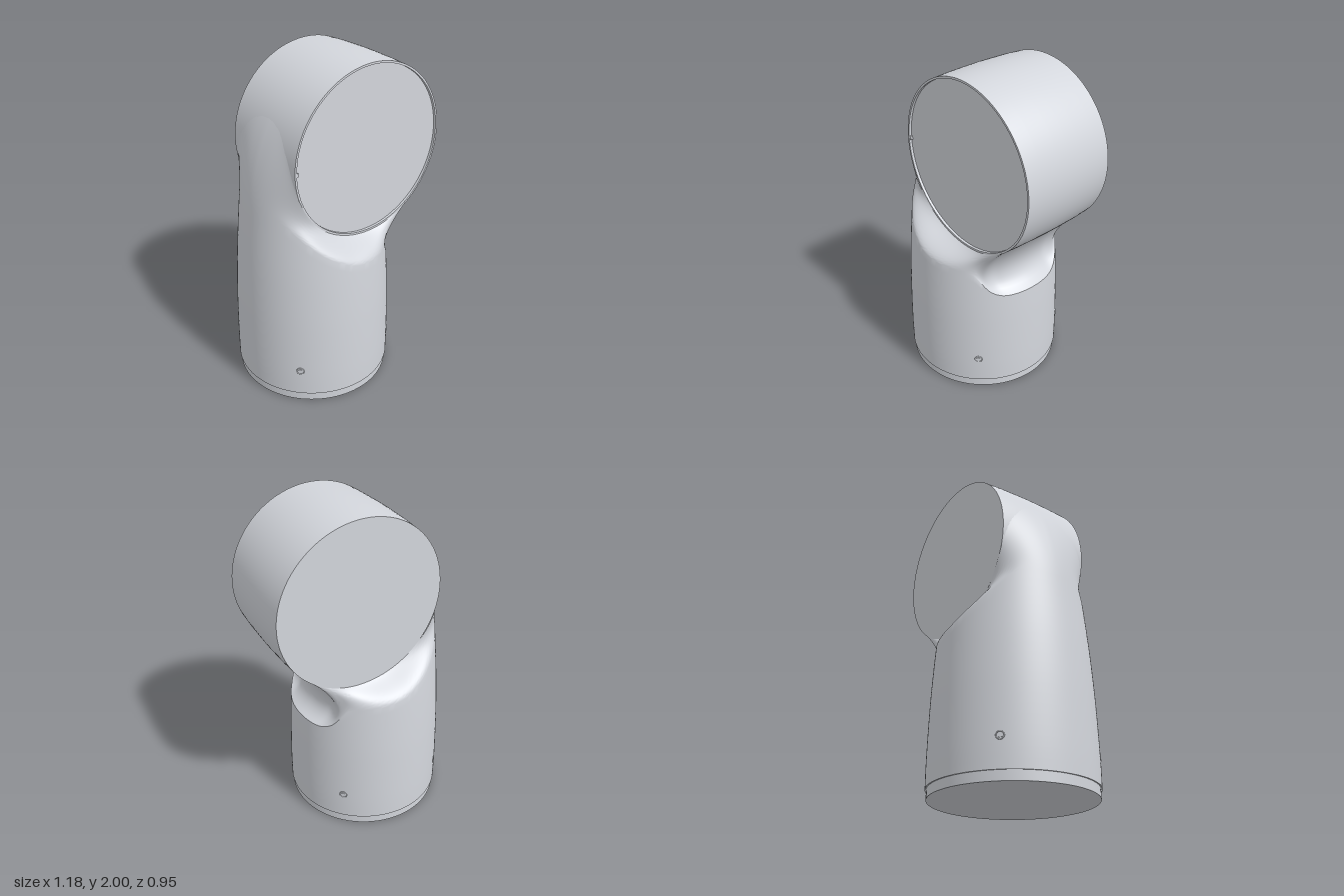
import * as THREE from 'three';
import { toCreasedNormals } from 'three/addons/utils/BufferGeometryUtils.js';

const CX = -0.116;                      // axis of the upright body
const DRUM = { x: 0.075, y: 1.487 };    // axis of the drum

// smooth lookup in a list of [t, value] pairs
function lookup(table, t) {
  const n = table.length - 1;
  let i = 0;
  while (i < n - 1 && t > table[i + 1][0]) i++;
  const slope = (k) => {
    const a = table[Math.max(k - 1, 0)], b = table[Math.min(k + 1, n)];
    return (b[1] - a[1]) / (b[0] - a[0]);
  };
  const [t0, v0] = table[i], [t1, v1] = table[i + 1];
  const h = t1 - t0, s = THREE.MathUtils.clamp((t - t0) / h, 0, 1);
  const s2 = s * s, s3 = s2 * s;
  return (2 * s3 - 3 * s2 + 1) * v0 + (s3 - 2 * s2 + s) * h * slope(i) +
    (3 * s2 - 2 * s3) * v1 + (s3 - s2) * h * slope(i + 1);
}

// body radius by height
const RADIUS = [[0, 0.474], [0.2, 0.474], [0.5, 0.466], [0.7, 0.456], [0.9, 0.442], [1.25, 0.41]];
// shoulder height by angle from the +x side, in degrees
const SHOULDER = [[0, 0.69], [20, 0.69], [28, 0.70], [36, 0.735], [43, 0.80], [48, 0.84],
  [61, 0.865], [75, 0.875], [90, 0.895], [100, 0.925], [115, 0.99], [130, 1.075],
  [140, 1.14], [150, 1.19], [160, 1.2], [180, 1.2]];
// where the neck and hood meet the drum: angle on the drum and depth
const MEET = [[0, -34], [20, -36], [35, -44], [45, -60], [60, -77], [90, -103],
  [110, -119], [130, -136], [140, -147], [150, -166], [160, -189], [170, -206], [180, -213]];
const DEPTH = [[0, 0], [20, 0.18], [35, 0.28], [45, 0.294], [60, 0.294], [90, 0.294],
  [130, 0.294], [150, 0.292], [160, 0.235], [170, 0.125], [180, 0]];

// one upright line of the body, from the base up to the drum
function column(theta) {
  const t = Math.abs(theta), a = THREE.MathUtils.degToRad(t);
  const side = theta < 0 ? -1 : 1;
  const top = lookup(SHOULDER, t), start = 0.055, points = [];
  const onBody = (y) => {
    const r = lookup(RADIUS, y);
    return new THREE.Vector3(CX + r * Math.cos(a), y, r * Math.sin(a));
  };
  for (let i = 0; i <= 20; i++) points.push(onBody(start + (top - start) * i / 20));

  const p1 = onBody(top);
  const m = THREE.MathUtils.degToRad(lookup(MEET, t)), depth = lookup(DEPTH, t);
  const r = 0.503 + 0.008 * (1 - (depth / 0.295) ** 2);
  const p2 = new THREE.Vector3(DRUM.x + r * Math.cos(m), DRUM.y + r * Math.sin(m), depth);
  // hollow neck under the drum on +x, rounded shoulders, tangent hood on -x
  const neck = 1 - THREE.MathUtils.smoothstep(t, 22, 62);
  const hood = THREE.MathUtils.smoothstep(t, 132, 158);
  const round = (1 - neck) * (1 - hood);
  const reach = p1.distanceTo(p2) / 3;
  const c1 = p1.clone().lerp(p2, 1 / 3);
  c1.x -= 0.23 * neck;
  c1.y -= 0.08 * neck;
  c1.lerp(p1.clone().add(new THREE.Vector3(0, 0.05, 0)), round * 0.85);
  c1.lerp(p1.clone().add(new THREE.Vector3(0.1 * reach, reach, 0)), hood);
  const c2 = p1.clone().lerp(p2, 2 / 3);
  c2.x -= 0.19 * neck;
  c2.y -= 0.05 * neck;
  c2.lerp(p2.clone().sub(new THREE.Vector3(Math.sin(m), -Math.cos(m), 0).multiplyScalar(reach)), hood);
  const curve = new THREE.CubicBezierCurve3(p1, c1, c2, p2);
  for (let i = 1; i <= 20; i++) points.push(curve.getPoint(i / 20));
  points.forEach((p) => { p.z *= side; });
  return points;
}

function bodyGeometry() {
  const columns = 180, pos = [], index = [];
  let rows = 0;
  for (let j = 0; j < columns; j++) {
    const line = column(-180 + 360 * j / columns);
    rows = line.length;
    line.forEach((p) => pos.push(p.x, p.y, p.z));
  }
  for (let j = 0; j < columns; j++) {
    const k = (j + 1) % columns;
    for (let i = 0; i < rows - 1; i++) {
      const a = j * rows + i, b = k * rows + i;
      index.push(a, a + 1, b, b, a + 1, b + 1);
    }
  }
  const g = new THREE.BufferGeometry();
  g.setAttribute('position', new THREE.Float32BufferAttribute(pos, 3));
  g.setIndex(index);
  return toCreasedNormals(g, 0.8);
}

function lathe(profile, segments = 96) {
  const pts = profile.map(([r, y]) => new THREE.Vector2(r, y));
  return toCreasedNormals(new THREE.LatheGeometry(pts, segments), 0.4);
}

export function createModel() {
  const model = new THREE.Group();
  model.name = 'elbowJoint';
  const grey = new THREE.MeshStandardMaterial({ color: 0xd3d6dc });
  grey.name = 'light grey';
  grey.side = THREE.DoubleSide;
  const add = (name, geometry, parent = model) => {
    const mesh = new THREE.Mesh(geometry, grey);
    mesh.name = name;
    parent.add(mesh);
    return mesh;
  };

  // upright body with its shoulder, neck and hood
  add('body', bodyGeometry());

  // stepped base ring, closed underneath
  add('baseRing', lathe([[0, 0], [0.467, 0], [0.467, 0.055], [0.474, 0.055]])).position.x = CX;

  // slightly crowned drum with a shallow recess at the front
  const drum = add('drum', lathe([[0, -0.295], [0.503, -0.295], [0.509, -0.2], [0.512, -0.08],
    [0.513, 0], [0.512, 0.08], [0.509, 0.2], [0.504, 0.295], [0.492, 0.295], [0.492, 0.279], [0, 0.279]], 128));
  drum.geometry.rotateX(Math.PI / 2);
  drum.position.set(DRUM.x, DRUM.y, 0);

  // locating tab inside the rim
  add('locatingTab', new THREE.BoxGeometry(0.018, 0.022, 0.014)).position.set(DRUM.x - 0.49, DRUM.y, 0.286);

  // four small screws around the foot
  for (let i = 0; i < 4; i++) {
    const screw = new THREE.Group();
    screw.name = 'screw' + (i + 1);
    const a = Math.PI / 4 + i * Math.PI / 2;
    screw.position.set(CX + 0.473 * Math.sin(a), 0.225, 0.473 * Math.cos(a));
    screw.rotation.y = a;
    add('screwRim', new THREE.TorusGeometry(0.021, 0.003, 8, 24), screw);
    const head = add('screwHead', new THREE.CylinderGeometry(0.014, 0.014, 0.006, 6), screw);
    head.rotation.x = Math.PI / 2;
    model.add(screw);
  }
  return model;
}
